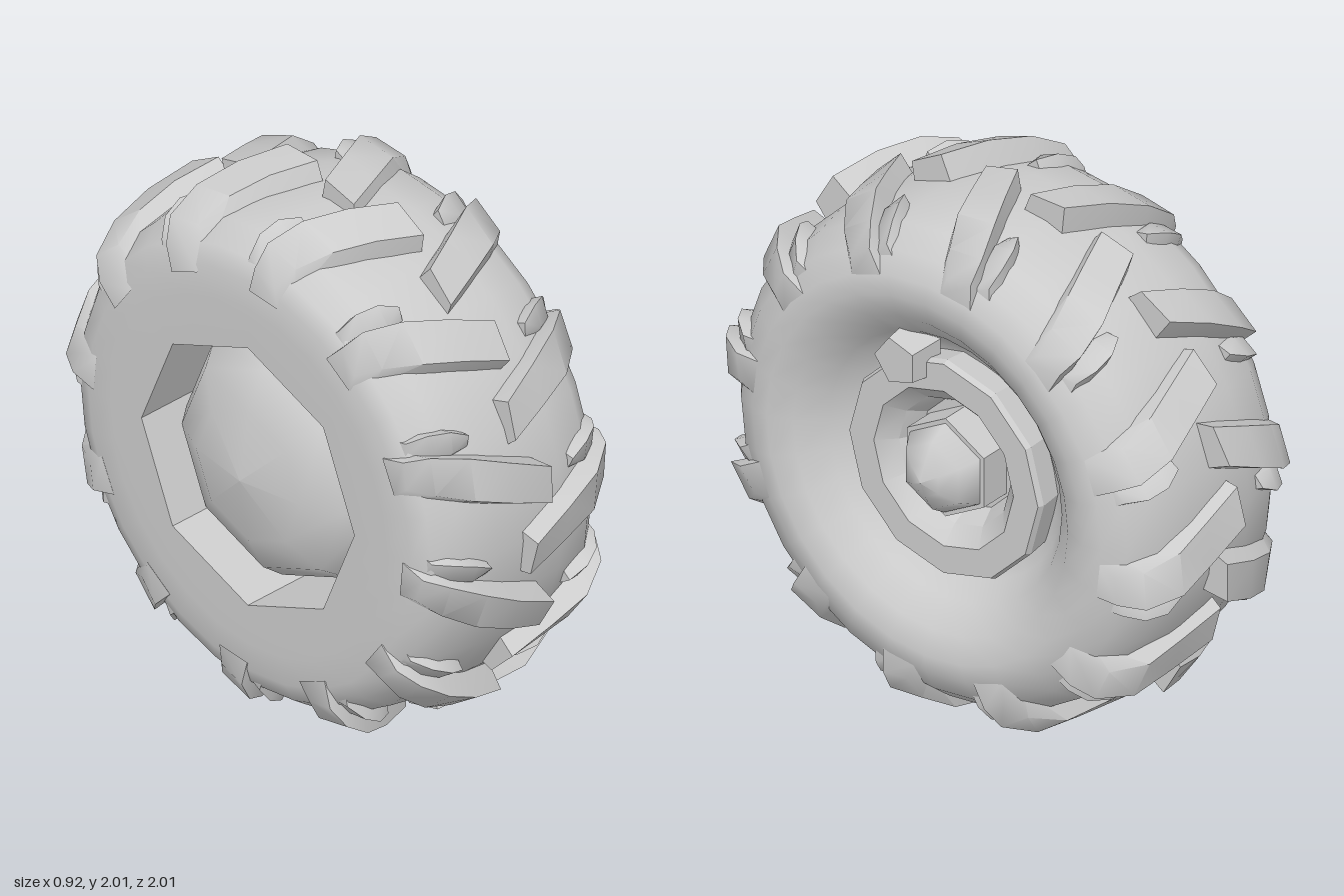
import * as THREE from 'three';
import { toCreasedNormals } from 'three/addons/utils/BufferGeometryUtils.js';

const material = new THREE.MeshStandardMaterial({ color: 0xcccccc });
const AXLE = 1; // height of the wheel centre

// Solid of revolution about the x axis; profile points are [x, radius]
function turned(name, profile, sides, flat = false, phase = 0) {
  const pts = profile.map(([x, r]) => new THREE.Vector2(r, x));
  let geo = new THREE.LatheGeometry(pts, sides, phase);
  geo.rotateZ(-Math.PI / 2);
  if (flat) geo = toCreasedNormals(geo, 0.45);
  const mesh = new THREE.Mesh(geo, material);
  mesh.name = name;
  mesh.position.y = AXLE;
  return mesh;
}

// Tapered bar over the tyre, its top rising towards one flank.
// Stations: [x, angle, halfWidth, topRadius, baseRadius]
function lugGeometry(stations, side) {
  const pos = [], index = [];
  for (const [x, a, w, top, base] of stations) {
    const corners = [[base, a - w - 0.03], [top - 0.03, a - w], [top, a + w], [base, a + w + 0.03]];
    for (const [r, t] of corners) pos.push(x * side, r * Math.sin(t), r * Math.cos(t));
  }
  const tri = (a, b, c) => (side > 0 ? index.push(a, b, c) : index.push(a, c, b));
  const n = stations.length;
  for (let i = 0; i < n - 1; i++) {
    for (let k = 0; k < 4; k++) {
      const a = i * 4 + k, c = i * 4 + (k + 1) % 4;
      tri(a, a + 4, c);
      tri(c, a + 4, c + 4);
    }
  }
  const e = (n - 1) * 4;
  tri(0, 1, 2); tri(0, 2, 3);
  tri(e, e + 2, e + 1); tri(e, e + 3, e + 2);
  const geo = new THREE.BufferGeometry();
  geo.setAttribute('position', new THREE.Float32BufferAttribute(pos, 3));
  geo.setIndex(index);
  return toCreasedNormals(geo, 0.95);
}

// One tread bar; peak is the radius of its inner end
const barStations = (peak) => [
  [-0.04, -0.05, 0.07, peak, 0.88],
  [0.12, 0.02, 0.075, peak - 0.005, 0.88],
  [0.26, 0.085, 0.08, 0.99, 0.85],
  [0.37, 0.14, 0.075, 0.925, 0.8],
  [0.42, 0.165, 0.06, 0.84, 0.74],
];

// Small nub in the gap between bars
const nubStations = [
  [0.2, 0.21, 0.02, 0.945, 0.88],
  [0.27, 0.23, 0.04, 0.95, 0.86],
  [0.34, 0.25, 0.04, 0.915, 0.82],
  [0.39, 0.26, 0.03, 0.85, 0.78],
];

export function createModel() {
  const group = new THREE.Group();
  group.name = 'tractorWheel';

  // Tyre carcass: flat inner wall, round tread, dished outer wall
  group.add(turned('tyre', [
    [-0.42, 0.53], [-0.42, 0.66], [-0.415, 0.77], [-0.385, 0.84], [-0.3, 0.9], [-0.15, 0.925],
    [0, 0.93], [0.15, 0.925], [0.3, 0.895], [0.38, 0.83], [0.42, 0.75], [0.43, 0.68],
    [0.4, 0.59], [0.32, 0.5], [0.24, 0.44], [0.2, 0.36], [0.19, 0.2],
  ], 28));

  // Octagonal opening in the inner wall, with a domed back to the rim
  group.add(turned('rimOpening', [[-0.1, 0.51], [-0.421, 0.51], [-0.421, 0.58]], 8, true));
  group.add(turned('rimBack', [
    [-0.46, 0], [-0.42, 0.25], [-0.35, 0.39], [-0.26, 0.46], [-0.12, 0.52],
  ], 8));

  // Outer rim ring and the hub inside it
  group.add(turned('rimRing', [
    [0.19, 0.4], [0.31, 0.415], [0.33, 0.405], [0.33, 0.3], [0.27, 0.24], [0.2, 0.2], [0.2, 0],
  ], 12, true));
  group.add(turned('hubCollar', [[0.19, 0.19], [0.32, 0.19], [0.32, 0.16]], 6, true, Math.PI / 2));
  group.add(turned('hubCap', [
    [0.25, 0.18], [0.33, 0.17], [0.39, 0.13], [0.43, 0.065], [0.455, 0],
  ], 6, false, Math.PI / 2));

  // Valve: a stubby five-sided pebble on the ring
  const valveGeo = new THREE.CylinderGeometry(0.09, 0.11, 0.13, 5);
  valveGeo.rotateZ(-Math.PI / 2);
  const valve = new THREE.Mesh(toCreasedNormals(valveGeo, 0.5), material);
  valve.name = 'valve';
  valve.position.set(0.33, 1.385, 0.155);
  group.add(valve);

  // Chevron tread: twelve staggered bars and nubs per side
  const STEP = Math.PI / 6;
  for (const side of [1, -1]) {
    const hand = side > 0 ? 'left' : 'right';
    const parts = {
      TreadBar: lugGeometry(barStations(side > 0 ? 1.0 : 1.025), side),
      TreadNub: lugGeometry(nubStations, side),
    };
    for (const [name, geo] of Object.entries(parts)) {
      for (let i = 0; i < 12; i++) {
        const mesh = new THREE.Mesh(geo, material);
        mesh.name = hand + name;
        mesh.position.y = AXLE;
        mesh.rotation.x = i * STEP + (side > 0 ? 0 : STEP / 2);
        group.add(mesh);
      }
    }
  }
  return group;
}
